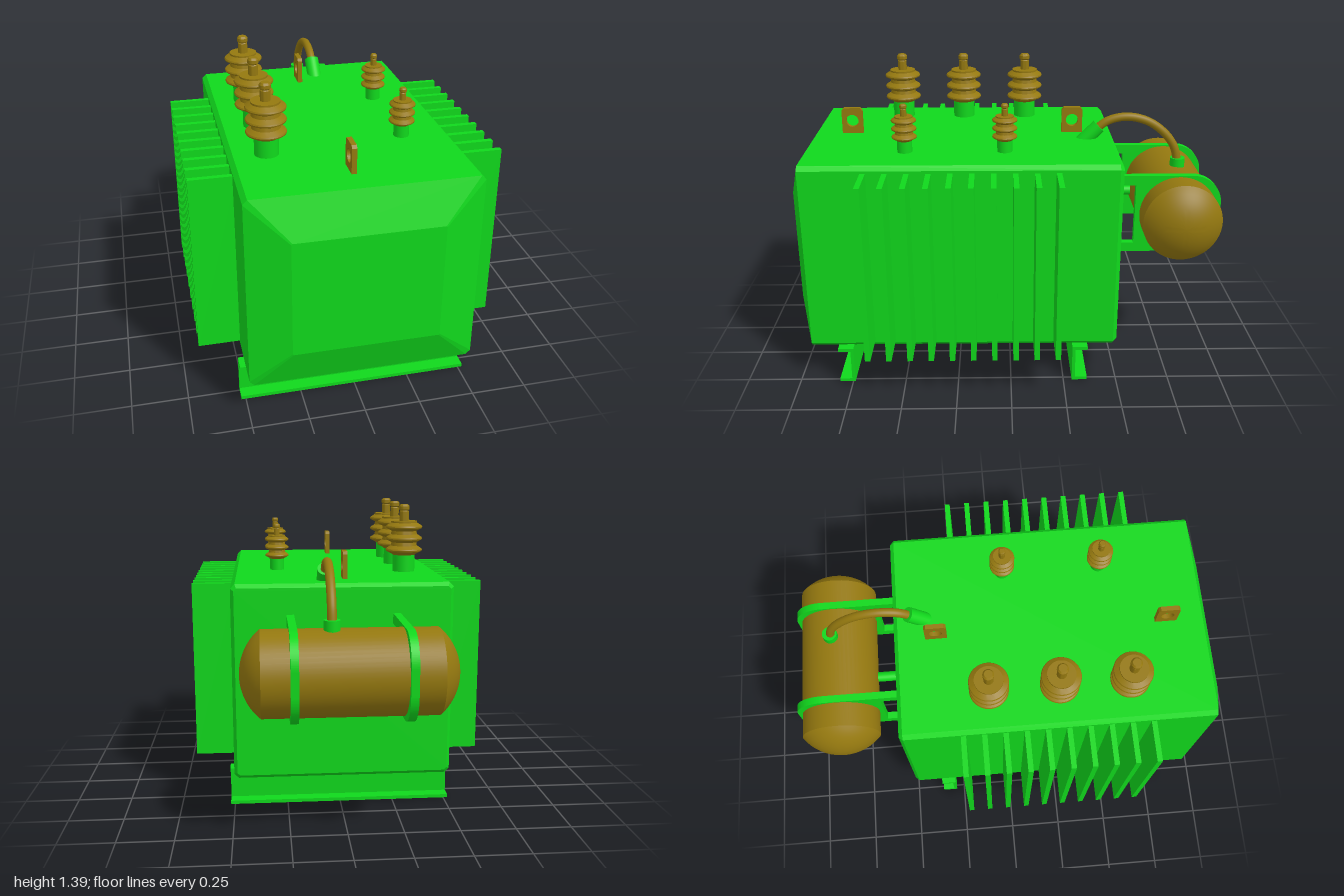
import * as THREE from 'three';
import { toCreasedNormals } from 'three/addons/utils/BufferGeometryUtils.js';

const green = new THREE.MeshStandardMaterial({ color: 0x10d81c });
const brown = new THREE.MeshStandardMaterial({ color: 0x94780f });

function add(parent, name, geometry, material, x = 0, y = 0, z = 0) {
  const mesh = new THREE.Mesh(geometry, material);
  mesh.name = name;
  mesh.position.set(x, y, z);
  parent.add(mesh);
  return mesh;
}

function lathe(points, segments = 40) {
  const profile = points.map(([r, y]) => new THREE.Vector2(r, y));
  return toCreasedNormals(new THREE.LatheGeometry(profile, segments), 0.5);
}

// Extrudes a (z, y) outline along x, centred on x = 0
function extrudeX(shape, width) {
  const g = new THREE.ExtrudeGeometry(shape, { depth: width, bevelEnabled: false, curveSegments: 16 });
  g.translate(0, 0, -width / 2);
  return g.rotateY(-Math.PI / 2); // shape x becomes +z
}

// Lofts chamfered rectangles along z, closed at both ends
function loftTank(sections) {
  const rings = sections.map(({ z, w, h, c }) => [
    [w, h - c], [w - c, h], [c - w, h], [-w, h - c],
    [-w, c - h], [c - w, -h], [w - c, -h], [w, c - h],
  ].map(([x, y]) => [x, y, z]));
  const pos = [];
  const tri = (...corners) => corners.forEach((p) => pos.push(...p));
  for (let i = 0; i < rings.length - 1; i++) {
    for (let j = 0; j < 8; j++) {
      const k = (j + 1) % 8;
      const a = rings[i][j], b = rings[i][k], c = rings[i + 1][k], d = rings[i + 1][j];
      tri(a, b, c);
      tri(a, c, d);
    }
  }
  const front = rings[rings.length - 1], back = rings[0];
  for (let j = 1; j < 7; j++) {
    tri(front[0], front[j], front[j + 1]);
    tri(back[0], back[j + 1], back[j]);
  }
  const g = new THREE.BufferGeometry();
  g.setAttribute('position', new THREE.Float32BufferAttribute(pos, 3));
  g.computeVertexNormals();
  return g;
}

function addBushing(parent, name, x, z, r, h) {
  const bushing = new THREE.Group();
  bushing.name = name;
  bushing.position.set(x, 1.065, z);
  bushing.scale.set(r, h, r);
  parent.add(bushing);
  add(bushing, 'bushingBase', new THREE.CylinderGeometry(0.053, 0.053, 0.085, 32), green, 0, 0.0425, 0);
  // Three sheds, then the terminal stem and cap
  const p = [[0, 0.085], [0.055, 0.085]];
  for (let i = 0; i < 3; i++) {
    const y = 0.085 + i * 0.055;
    p.push([0.06, y + 0.005], [0.086, y + 0.018], [0.088, y + 0.024], [0.085, y + 0.03], [0.063, y + 0.044]);
  }
  p.push([0.063, 0.247], [0.022, 0.247], [0.022, 0.292], [0.019, 0.296], [0.025, 0.302],
    [0.025, 0.317], [0.018, 0.326], [0, 0.326]);
  add(bushing, 'insulator', lathe(p), brown);
}

export function createModel() {
  const model = new THREE.Group();
  model.name = 'powerTransformer';

  // Main tank with a tapered front
  add(model, 'tank', loftTank([
    { z: -0.5, w: 0.482, h: 0.43, c: 0.012 },
    { z: -0.482, w: 0.497, h: 0.447, c: 0.02 },
    { z: 0.937, w: 0.497, h: 0.447, c: 0.02 },
    { z: 1.0, w: 0.32, h: 0.268, c: 0.005 },
  ]), green, 0, 0.623, 0);

  // Cooling fins on both sides
  for (const side of [-1, 1]) {
    for (let i = 0; i < 10; i++) {
      add(model, 'coolingFin', new THREE.BoxGeometry(0.2, 0.83, 0.024), green, side * 0.583, 0.623, -0.212 + i * 0.0957);
    }
  }

  // Channel section skids, flanges pointing outwards
  for (const [z, dir] of [[0.74, 1], [-0.29, -1]]) {
    const skid = new THREE.Group();
    skid.name = 'baseChannel';
    skid.position.z = z;
    model.add(skid);
    add(skid, 'web', new THREE.BoxGeometry(1.04, 0.176, 0.015), green, 0, 0.088, dir * 0.0075);
    for (const y of [0.008, 0.169]) {
      add(skid, 'flange', new THREE.BoxGeometry(1.04, 0.016, 0.072), green, 0, y, dir * 0.036);
    }
  }

  // High and low voltage bushings
  for (const z of [-0.083, 0.23, 0.542]) addBushing(model, 'highVoltageBushing', -0.333, z, 1, 1);
  for (const z of [0.025, 0.482]) addBushing(model, 'lowVoltageBushing', 0.28, z, 0.65, 0.7);

  // Lifting lugs
  const lug = new THREE.Shape();
  [[-0.05, 0], [0.05, 0], [0.05, 0.115], [0.04, 0.128], [-0.04, 0.128], [-0.05, 0.115]]
    .forEach(([x, y], i) => (i ? lug.lineTo(x, y) : lug.moveTo(x, y)));
  lug.closePath();
  lug.holes.push(new THREE.Path().absarc(0, 0.065, 0.03, 0, Math.PI * 2, true));
  for (const z of [0.762, -0.305]) add(model, 'liftingLug', extrudeX(lug, 0.022), brown, -0.022, 1.067, z);

  // Conservator drum with domed ends
  const R = 0.185, half = 0.37, rise = 0.087;
  const domeR = (R * R + rise * rise) / (2 * rise);
  const dome = [];
  for (let i = 0; i <= 10; i++) {
    const a = Math.asin(R / domeR) * (i / 10);
    dome.push([domeR * Math.sin(a), half + rise - domeR * (1 - Math.cos(a))]);
  }
  const drumProfile = [...dome.map(([r, y]) => [r, -y]), ...dome.slice().reverse()];
  const drum = add(model, 'conservatorDrum', lathe(drumProfile, 56), brown, 0, 0.743, -0.8);
  drum.rotation.z = Math.PI / 2;

  // Drum brackets: arms to the tank and a rounded loop round the drum
  const bracket = new THREE.Shape();
  bracket.moveTo(-0.49, 0.934);
  bracket.lineTo(-0.86, 0.934);
  bracket.absarc(-0.86, 0.794, 0.14, Math.PI / 2, Math.PI, false);
  bracket.absarc(-0.86, 0.69, 0.14, Math.PI, Math.PI * 1.5, false);
  [[-0.49, 0.55], [-0.49, 0.595], [-0.593, 0.595], [-0.593, 0.888], [-0.49, 0.888]]
    .forEach(([z, y]) => bracket.lineTo(z, y));
  bracket.closePath();
  for (const x of [-0.24, 0.235]) add(model, 'drumBracket', extrudeX(bracket, 0.034), green, x, 0, 0);

  // Short pipe joining the drum to the tank
  const link = add(model, 'drumConnection', new THREE.CylinderGeometry(0.024, 0.024, 0.16, 24), green, -0.083, 0.74, -0.56);
  link.rotation.x = Math.PI / 2;

  // Curved pipe with its two sockets
  const px = 0.075;
  const path = new THREE.CatmullRomCurve3([
    [-0.4, 1.1], [-0.47, 1.153], [-0.56, 1.172], [-0.66, 1.15], [-0.745, 1.09], [-0.795, 1.02], [-0.815, 0.94],
  ].map(([z, y]) => new THREE.Vector3(px, y, z)));
  add(model, 'reliefPipe', new THREE.TubeGeometry(path, 48, 0.02, 20), brown);
  const socket = add(model, 'tankSocket', new THREE.CylinderGeometry(0.035, 0.035, 0.12, 28), green, px, 1.085, -0.385);
  socket.rotation.x = -Math.PI / 4;
  add(model, 'drumSocket', new THREE.CylinderGeometry(0.035, 0.035, 0.06, 28), green, px, 0.937, -0.815);

  return model;
}
